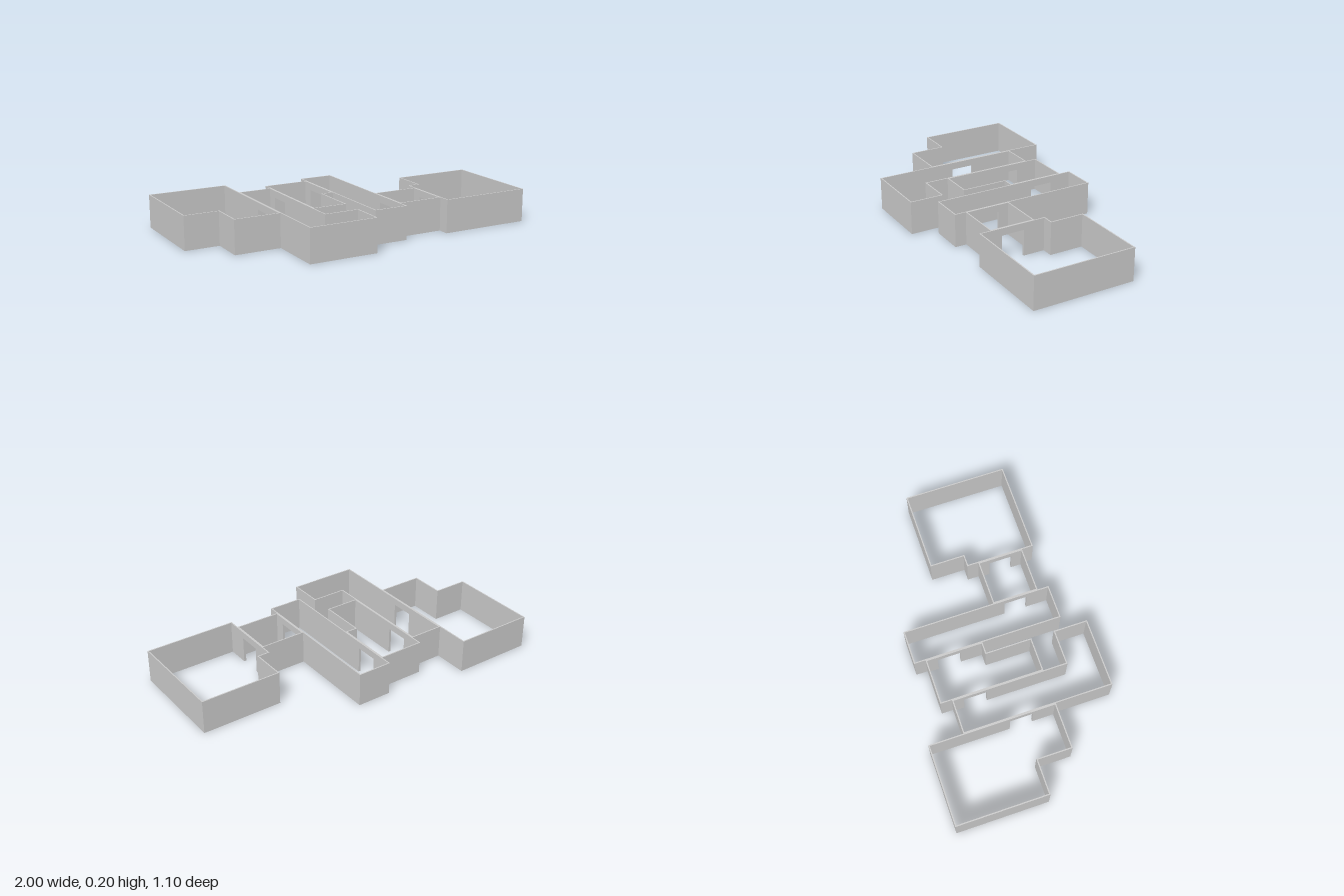
import * as THREE from 'three';

const U = 2 / 29;        // plan grid unit
const T = 0.007;         // wall thickness
const H = 0.2;           // wall height
const DOOR_H = 0.158;

// Room outlines in grid units [x, z], clockwise seen from above
const rooms = {
  westRoom: [[0, 0], [7, 0], [7, 11], [3, 11], [3, 8], [0, 8]],
  hookCorridor: [[7, 3], [10, 3], [10, 13], [13, 13], [13, 16], [7, 16]],
  steppedRoom: [[10, 2], [14, 2], [14, 7], [13, 7], [13, 11], [10, 11]],
  longCorridor: [[14, 1], [17, 1], [17, 14], [14, 14]],
  smallRoom: [[17, 9], [21, 9], [21, 13], [17, 13]],
  eastRoom: [[22, 5], [29, 5], [29, 14], [21, 14], [21, 8], [22, 8]],
};

// Doorways through walls of constant x: [x, zStart, zEnd]
const doors = [[7, 7, 9], [10, 4, 6], [14, 3, 5], [17, 10, 12], [21, 10, 12]];

const toPlan = ([x, z]) => new THREE.Vector2((x - 14.5) * U, (z - 8) * U);

// Upright wall face from s0 to s1, notched at the floor for a doorway
function wallShape(s0, s1, door) {
  const pts = [[s0, 0]];
  if (door) pts.push([door[0], 0], [door[0], DOOR_H], [door[1], DOOR_H], [door[1], 0]);
  pts.push([s1, 0], [s1, H], [s0, H]);
  return new THREE.Shape(pts.map(([s, y]) => new THREE.Vector2(s, y)));
}

function buildRoom(name, outline, material) {
  const room = new THREE.Group();
  room.name = name;
  const n = outline.length;
  const dir = (i) => {
    const a = toPlan(outline[(i + n) % n]), b = toPlan(outline[(i + 1) % n]);
    return b.sub(a).normalize();
  };
  const convex = (i) => dir(i - 1).cross(dir(i)) > 0;

  outline.forEach((corner, i) => {
    const next = outline[(i + 1) % n];
    const a = toPlan(corner), d = dir(i);
    const length = toPlan(next).distanceTo(a);
    const alongZ = corner[0] === next[0];

    // Walls along z own the corners; walls along x butt against them
    const trim = (k) => (alongZ ? (convex(k) ? 0 : -T) : (convex(k) ? T : 0));
    const s0 = trim(i), s1 = length - trim((i + 1) % n);

    // Doorway that falls on this wall, as distances along it
    const lo = Math.min(corner[1], next[1]), hi = Math.max(corner[1], next[1]);
    const hit = alongZ && doors.find(([x, z0, z1]) => x === corner[0] && z0 >= lo && z1 <= hi);
    const opening = hit && [hit[1], hit[2]].map((z) => Math.abs(z - corner[1]) * U).sort((p, q) => p - q);

    const geo = new THREE.ExtrudeGeometry(wallShape(s0, s1, opening), { depth: T, bevelEnabled: false });
    // Local x runs along the wall, local z points into the room
    geo.applyMatrix4(new THREE.Matrix4().makeBasis(
      new THREE.Vector3(d.x, 0, d.y),
      new THREE.Vector3(0, 1, 0),
      new THREE.Vector3(-d.y, 0, d.x),
    ).setPosition(a.x, 0, a.y));
    const wall = new THREE.Mesh(geo, material);
    wall.name = opening ? 'doorwayWall' : 'wall';
    room.add(wall);
  });
  return room;
}

export function createModel() {
  const model = new THREE.Group();
  model.name = 'floorPlanWalls';
  const material = new THREE.MeshStandardMaterial({ color: 0xcccccc });
  for (const [name, outline] of Object.entries(rooms)) model.add(buildRoom(name, outline, material));
  return model;
}
